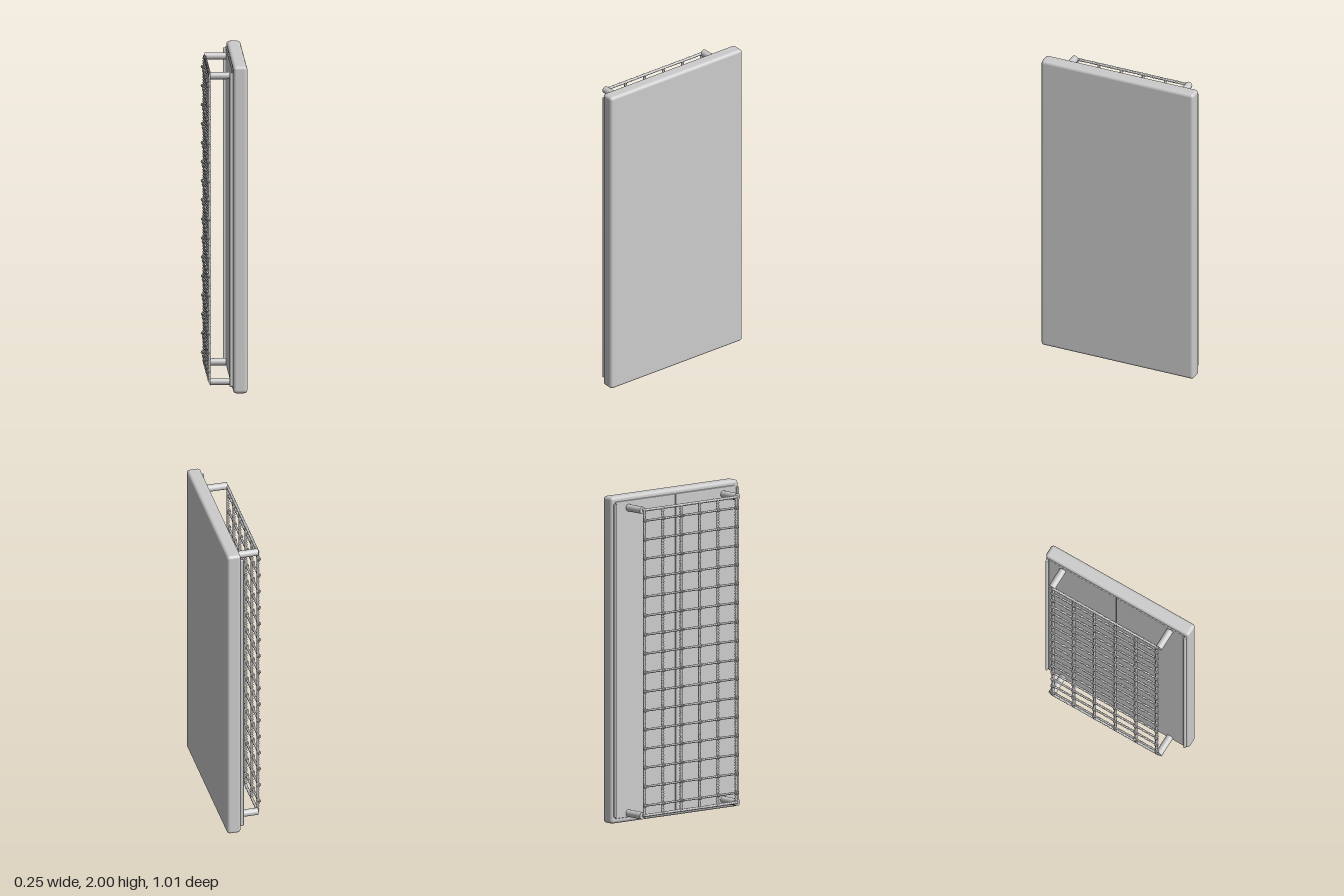
import * as THREE from 'three';
import { mergeGeometries } from 'three/addons/utils/BufferGeometryUtils.js';
import { RoundedBoxGeometry } from 'three/addons/geometries/RoundedBoxGeometry.js';

const TOP = 1.925, BOTTOM = 0.055;   // heights of the post pairs
const POST_Z = 0.377, NET_Z = 0.365; // half widths of posts and net

// Three-strand twisted rope along y, centred on the origin
function ropeGeometry(length, radius) {
  const steps = Math.round(length / 0.0063);
  const geo = new THREE.CylinderGeometry(1, 1, length, 9, steps);
  const pos = geo.attributes.position;
  for (let i = 0; i < pos.count; i++) {
    const x = pos.getX(i), y = pos.getY(i), z = pos.getZ(i);
    const d = Math.hypot(x, z);
    if (d < 0.01) continue;
    const a = Math.atan2(z, x);
    const r = radius * (0.84 + 0.16 * Math.cos(3 * a));
    const turn = a + (y / 0.05) * Math.PI * 2;
    pos.setXYZ(i, r * Math.cos(turn), y, r * Math.sin(turn));
  }
  geo.computeVertexNormals();
  return geo;
}

// Knot: a tilted loop pulled over a small core
function knotGeometry() {
  const core = new THREE.SphereGeometry(0.011, 8, 6);
  const loopA = new THREE.TorusGeometry(0.01, 0.005, 5, 10).rotateY(Math.PI / 2).rotateZ(0.9);
  const loopB = new THREE.TorusGeometry(0.01, 0.005, 5, 10).rotateX(Math.PI / 2).rotateX(0.7);
  return mergeGeometries([core, loopA, loopB]);
}

export function createModel() {
  const model = new THREE.Group();
  model.name = 'netBoard';
  const grey = new THREE.MeshStandardMaterial({ color: 0xcccccc });
  grey.name = 'light grey';

  function add(name, geo, x, y, z, parent = model) {
    const mesh = new THREE.Mesh(geo, grey);
    mesh.name = name;
    mesh.position.set(x, y, z);
    parent.add(mesh);
    return mesh;
  }

  // Main slab
  add('board', new RoundedBoxGeometry(0.086, 2, 1.01, 4, 0.02), 0.079, 1, 0);

  // Two thin facing panels with a seam between them
  const panel = new RoundedBoxGeometry(0.02, 1.94, 0.473, 2, 0.005);
  for (const s of [-1, 1]) add('facingPanel', panel, 0.04, 1, s * 0.2385 - 0.003);

  // Slim rails along both long edges
  const rail = new RoundedBoxGeometry(0.023, 1.92, 0.013, 3, 0.006);
  for (const s of [-1, 1]) add('edgeRail', rail, 0.0265, 1, s * 0.486);

  // Four posts carrying the net
  const post = new THREE.CylinderGeometry(0.022, 0.022, 0.14, 24).rotateZ(Math.PI / 2);
  for (const y of [BOTTOM, TOP])
    for (const s of [-1, 1]) add('post', post, -0.03, y, s * POST_Z);

  // Rope net
  const net = new THREE.Group();
  net.name = 'net';
  model.add(net);
  const upright = ropeGeometry(TOP - BOTTOM, 0.01);
  const crossRope = ropeGeometry(NET_Z * 2, 0.008).rotateX(Math.PI / 2);
  const headRope = ropeGeometry(POST_Z * 2, 0.01).rotateX(Math.PI / 2);
  const knot = knotGeometry();

  const columns = Array.from({ length: 6 }, (_, i) => NET_Z * (i / 2.5 - 1));
  const rows = Array.from({ length: 16 }, (_, i) => 0.117 + i * 0.1163);

  for (const z of columns) add('uprightRope', upright, -0.103, (TOP + BOTTOM) / 2, z, net);
  for (const y of [BOTTOM, TOP]) add('endRope', headRope, -0.1, y, 0, net);
  for (const y of rows) {
    add('crossRope', crossRope, -0.108, y, 0, net);
    for (const z of columns) add('knot', knot, -0.109, y, z, net);
  }
  return model;
}
